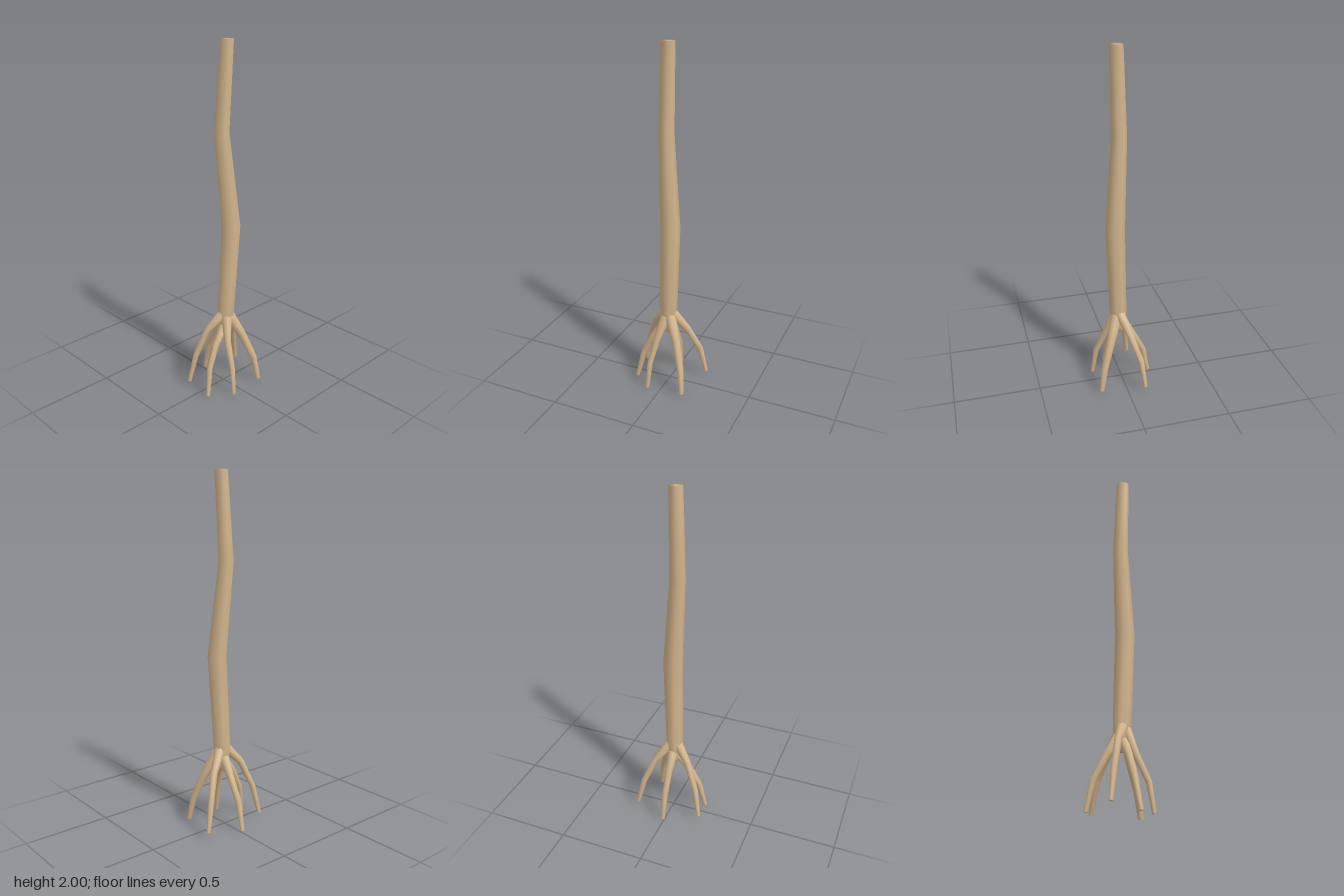
import * as THREE from 'three';

const material = new THREE.MeshStandardMaterial({ color: 0xd2b48c });

// Smooth, closed, tapering limb: each station is [x, y, z, radius], listed bottom to top
function limb(name, stations, sides, level) {
  const pts = stations.map(s => new THREE.Vector3(s[0], s[1], s[2]));
  const pos = [], idx = [];
  stations.forEach((s, i) => {
    const a = pts[Math.max(i - 1, 0)], b = pts[Math.min(i + 1, pts.length - 1)];
    const dir = level ? new THREE.Vector3(0, 1, 0) : b.clone().sub(a).normalize();
    const u = new THREE.Vector3(1, 0, 0).addScaledVector(dir, -dir.x).normalize();
    const v = new THREE.Vector3().crossVectors(u, dir);
    for (let k = 0; k < sides; k++) {
      const t = (k + 0.5) / sides * Math.PI * 2;
      const p = pts[i].clone().addScaledVector(u, Math.cos(t) * s[3]).addScaledVector(v, Math.sin(t) * s[3]);
      pos.push(p.x, p.y, p.z);
    }
  });
  const last = stations.length - 1;
  for (let i = 0; i < last; i++) {
    for (let k = 0; k < sides; k++) {
      const a = i * sides + k, b = i * sides + (k + 1) % sides;
      idx.push(a, a + sides, b, b, a + sides, b + sides);
    }
  }
  // End caps
  const bottom = pos.length / 3, top = bottom + 1;
  pos.push(...pts[0].toArray(), ...pts[last].toArray());
  for (let k = 0; k < sides; k++) {
    const n = (k + 1) % sides;
    idx.push(bottom, k, n, top, last * sides + n, last * sides + k);
  }
  const geometry = new THREE.BufferGeometry();
  geometry.setAttribute('position', new THREE.Float32BufferAttribute(pos, 3));
  geometry.setIndex(idx);
  geometry.computeVertexNormals();
  const mesh = new THREE.Mesh(geometry, material);
  mesh.name = name;
  return mesh;
}

export function createModel() {
  const group = new THREE.Group();
  group.name = 'rootedStem';

  // Slightly crooked trunk
  group.add(limb('trunk', [
    [0, 0.33, 0.01, 0.022],
    [0, 0.37, 0.015, 0.038],
    [0, 0.48, 0.02, 0.05],
    [0.019, 1.0, 0.04, 0.055],
    [-0.019, 1.52, 0.007, 0.043],
    [0, 2.0, 0.026, 0.037],
  ], 8, true));

  // Six spreading roots, from tip to crown
  const roots = {
    backRoot: [[0.003, 0.018, -0.165, 0.012], [0.003, 0.18, -0.13, 0.018], [0.004, 0.31, -0.06, 0.021], [0.003, 0.41, 0.0, 0.03]],
    backLeftRoot: [[0.193, 0.04, -0.098, 0.012], [0.16, 0.2, -0.078, 0.018], [0.1, 0.345, -0.03, 0.021], [0.02, 0.46, 0.015, 0.031]],
    frontLeftRoot: [[0.14, 0.02, 0.153, 0.014], [0.122, 0.16, 0.13, 0.02], [0.075, 0.31, 0.08, 0.025], [0.01, 0.45, 0.03, 0.034]],
    frontRoot: [[-0.073, 0.012, 0.163, 0.011], [-0.065, 0.17, 0.14, 0.016], [-0.043, 0.31, 0.08, 0.02], [-0.008, 0.45, 0.032, 0.032]],
    frontRightRoot: [[-0.185, 0.004, 0.065, 0.012], [-0.15, 0.17, 0.043, 0.018], [-0.09, 0.29, 0.032, 0.02], [-0.01, 0.39, 0.02, 0.028]],
    backRightRoot: [[-0.195, 0.04, -0.085, 0.012], [-0.162, 0.21, -0.062, 0.017], [-0.098, 0.37, -0.026, 0.02], [-0.015, 0.465, 0.017, 0.031]],
  };
  for (const [name, stations] of Object.entries(roots)) group.add(limb(name, stations, 8, false));

  return group;
}
